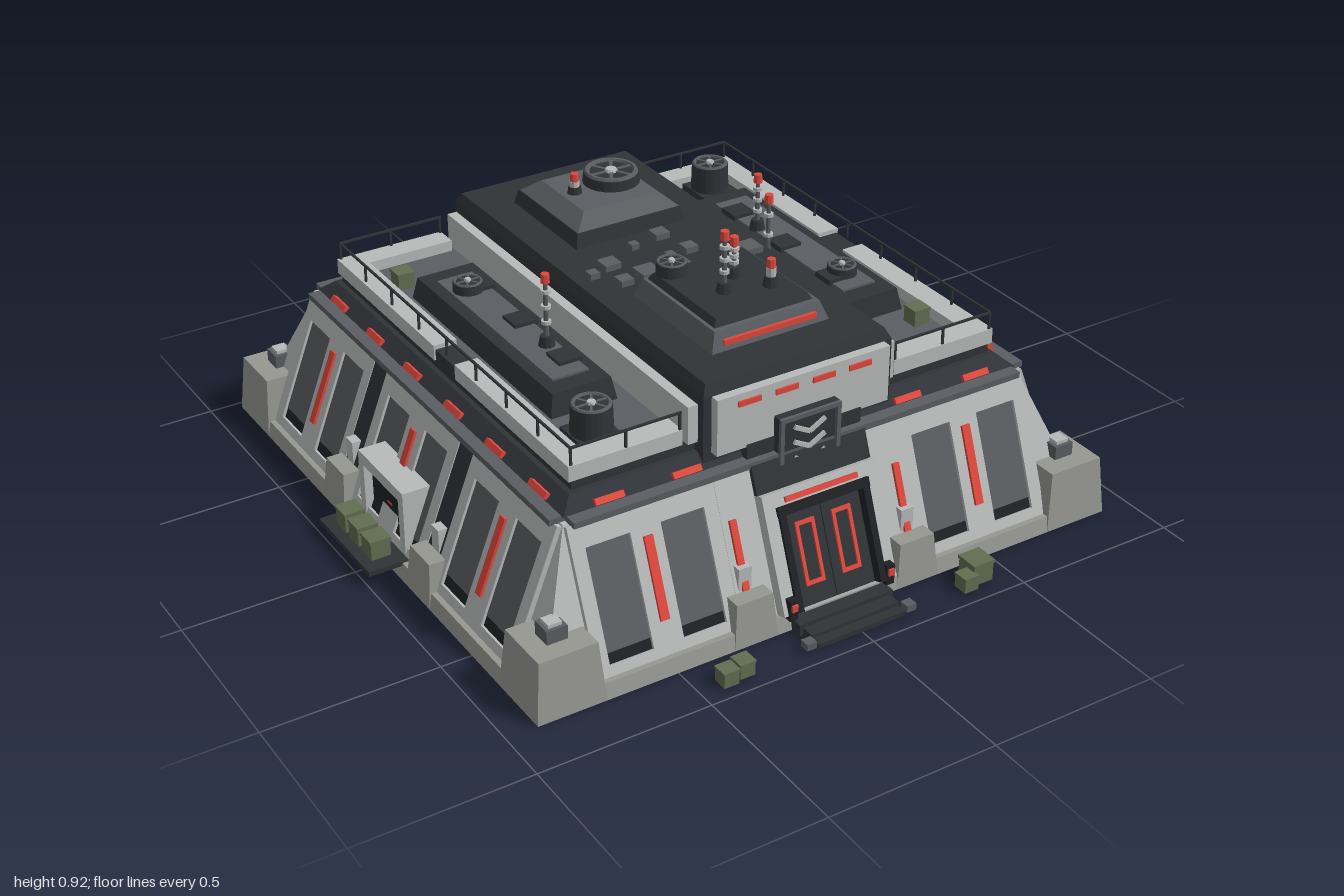
import * as THREE from 'three';

const mat = (color) => new THREE.MeshStandardMaterial({ color, flatShading: true });
const M = {
  light: mat(0xb8baba), concrete: mat(0x979792), mid: mat(0x5a5d61), dark: mat(0x303337),
  black: mat(0x1f2124), red: mat(0xe0483c), green: mat(0x626d50),
};

function add(parent, name, geo, m, x = 0, y = 0, z = 0) {
  const mesh = new THREE.Mesh(geo, m);
  mesh.name = name;
  mesh.position.set(x, y, z);
  parent.add(mesh);
  return mesh;
}
// Box standing on y
const box = (p, name, m, w, h, d, x, y, z) => add(p, name, new THREE.BoxGeometry(w, h, d), m, x, y + h / 2, z);
// Box standing on y, with its top inset by t on every side
function taper(p, name, m, w, h, d, x, y, z, t) {
  const geo = new THREE.BoxGeometry(w, h, d), a = geo.attributes.position;
  for (let i = 0; i < a.count; i++) {
    if (a.getY(i) > 0) {
      a.setX(i, a.getX(i) - Math.sign(a.getX(i)) * t);
      a.setZ(i, a.getZ(i) - Math.sign(a.getZ(i)) * t);
    }
  }
  geo.computeVertexNormals();
  return add(p, name, geo, m, x, y + h / 2, z);
}
const cyl = (p, name, m, r0, r1, h, x, y, z, n = 20) =>
  add(p, name, new THREE.CylinderGeometry(r1, r0, h, n), m, x, y + h / 2, z);

function group(parent, name, x = 0, y = 0, z = 0) {
  const g = new THREE.Group();
  g.name = name;
  g.position.set(x, y, z);
  parent.add(g);
  return g;
}
const rectPoints = (x, y, w, h) => [[x, y], [x + w, y], [x + w, y + h], [x, y + h]].map((p) => new THREE.Vector2(...p));
// Flat plate with rectangular holes
function plate(p, name, m, outer, holes, depth, z) {
  const s = new THREE.Shape(rectPoints(...outer));
  holes.forEach((h) => s.holes.push(new THREE.Path(rectPoints(...h))));
  return add(p, name, new THREE.ExtrudeGeometry(s, { depth, bevelEnabled: false }), m, 0, 0, z);
}

function fan(p, x, y, z, r, h) {
  const g = group(p, 'roofFan', x, y, z);
  cyl(g, 'fanHousing', M.dark, r * 1.05, r, h, 0, 0, 0, 24);
  const ring = add(g, 'fanRing', new THREE.TorusGeometry(r * 0.88, r * 0.1, 6, 24), M.mid, 0, h, 0);
  ring.rotation.x = Math.PI / 2;
  cyl(g, 'fanHub', M.light, r * 0.25, r * 0.2, 0.008, 0, h, 0, 12);
  for (let i = 0; i < 3; i++) box(g, 'fanBlade', M.mid, r * 1.6, 0.003, r * 0.12, 0, h, 0).rotation.y = i * Math.PI / 3;
}

function antenna(p, x, y, z, top) {
  const g = group(p, 'antenna', x, y, z), h = top - y;
  cyl(g, 'antennaBase', M.dark, 0.024, 0.018, 0.03, 0, 0, 0, 10);
  cyl(g, 'antennaMast', M.mid, 0.008, 0.006, h - 0.02, 0, 0, 0, 8);
  for (let i = 1; i <= 3; i++) cyl(g, 'antennaRing', M.light, 0.014, 0.014, 0.01, 0, 0.02 + (h - 0.05) * i / 3.6, 0, 10);
  cyl(g, 'antennaLamp', M.red, 0.013, 0.012, 0.026, 0, h - 0.026, 0, 8);
}

// Wall: half depth is 0.733 at y = 0.42 and grows by SLOPE for each unit down
const SLOPE = 0.39, TILT = Math.atan(SLOPE), K = Math.hypot(1, SLOPE);
const up = (y) => (y - 0.04) * K;

function wallPanel(w, c) {
  const y0 = up(0.07), y1 = up(0.36);
  plate(w, 'panelFrame', M.light, [c - 0.215, 0, 0.43, up(0.42)],
    [[c - 0.175, y0, 0.13, y1 - y0], [c + 0.045, y0, 0.13, y1 - y0]], 0.016, -0.012);
  for (const s of [-1, 1]) {
    box(w, 'panelInset', M.mid, 0.13, y1 - y0 - 0.03, 0.008, c + s * 0.11, y0 + 0.03, -0.008);
    box(w, 'panelFoot', M.black, 0.13, 0.03, 0.006, c + s * 0.11, y0, -0.008);
  }
  box(w, 'wallLight', M.red, 0.026, up(0.34) - up(0.13), 0.012, c, up(0.13), 0.006);
}

function crate(p, s, x, y, z) {
  box(p, 'crate', M.green, s, s * 0.85, s, x, y, z);
  box(p, 'crateLid', M.green, s * 1.08, s * 0.15, s * 1.08, x, y + s * 0.85, z);
}

function side(body, k) {
  const g = group(body, ['frontSide', 'leftSide', 'backSide', 'rightSide'][k]);
  g.rotation.y = k * Math.PI / 2;
  const w = group(g, 'slopedWall', 0, 0.04, 0.733 + SLOPE * 0.38);
  w.rotation.x = -TILT;
  for (const c of k === 0 ? [-0.505, 0.505] : [-0.505, 0, 0.505]) wallPanel(w, c);
  for (const s of [-1, 1]) {
    if (k === 0) {
      box(w, 'entranceWing', M.light, 0.11, up(0.42), 0.02, s * 0.235, 0, -0.005);
      box(w, 'wingLight', M.red, 0.02, 0.19, 0.012, s * 0.26, up(0.13), 0.008);
    }
    box(w, 'wallColumn', M.dark, k ? 0.07 : 0.025, up(0.42), 0.022, s * (k ? 0.253 : 0.3), 0, -0.008);
    taper(g, 'buttress', M.concrete, 0.135, 0.13, 0.11, s * 0.26, 0, 0.855, 0.012);
    box(g, 'buttressRib', M.light, 0.04, 0.1, 0.04, s * 0.26, 0.1, 0.83);
  }
  // Warning lights along the cornice
  for (const s of k % 2 ? [-0.58, -0.35, -0.12, 0.12, 0.35, 0.58] : [-0.58, -0.35, 0.35, 0.58])
    box(g, 'corniceLight', M.red, 0.085, 0.018, 0.015, s, 0.437, 0.708).rotation.x = -0.6;
  // Cargo dock
  if (k % 2) {
    const d = group(g, 'cargoDock');
    plate(d, 'dockFrame', M.light, [-0.135, 0.04, 0.27, 0.205], [[-0.105, 0.04, 0.21, 0.17]], 0.09, 0.79);
    box(d, 'dockDoor', M.black, 0.21, 0.17, 0.02, 0, 0.04, 0.845);
    box(d, 'dockLight', M.red, 0.2, 0.014, 0.012, 0, 0.19, 0.86);
    box(d, 'dockPlatform', M.dark, 0.31, 0.014, 0.13, 0, 0.036, 0.935);
    for (const x of [-0.08, 0, 0.08]) crate(d, 0.058, x, 0.05, 0.94);
  }
  return w;
}

function wing(body, s) {
  const g = group(body, s > 0 ? 'leftRoofWing' : 'rightRoofWing');
  if (s < 0) g.rotation.y = Math.PI;
  box(g, 'wingFloor', M.mid, 0.33, 0.03, 1.3, 0.49, 0.48, 0);
  box(g, 'parapetGap', M.dark, 0.06, 0.03, 0.14, 0.635, 0.5, 0);
  for (const e of [-1, 1]) {
    box(g, 'parapetSide', M.light, 0.07, 0.045, 0.605, 0.635, 0.498, e * 0.3625);
    box(g, 'parapetEnd', M.light, 0.265, 0.045, 0.07, 0.4675, 0.498, e * 0.63);
    box(g, 'endRail', M.dark, 0.325, 0.006, 0.006, 0.4975, 0.59, e * 0.66);
    for (const x of [0.34, 0.5]) box(g, 'railPost', M.dark, 0.006, 0.055, 0.006, x, 0.54, e * 0.66);
  }
  box(g, 'sideRail', M.dark, 0.006, 0.006, 1.32, 0.66, 0.59, 0);
  for (let i = 0; i <= 8; i++) box(g, 'railPost', M.dark, 0.006, 0.055, 0.006, 0.66, 0.54, -0.66 + i * 0.165);
  box(g, 'innerWall', M.light, 0.03, 0.11, 1.31, 0.31, 0.5, 0.02 * s);
  // Raised equipment deck
  taper(g, 'equipmentDeck', M.dark, 0.2, 0.065, 0.79, 0.465, 0.51, 0, 0.012);
  box(g, 'deckPlate', M.mid, 0.11, 0.008, 0.65, 0.465, 0.573, 0);
  for (const z of [-0.24, 0, 0.24]) box(g, 'deckHatch', M.dark, 0.07, 0.016, 0.07, 0.435, 0.575, z);
  fan(g, 0.47, 0.578, 0.235, 0.042, 0.03);
  box(g, 'fanPad', M.dark, 0.12, 0.02, 0.12, 0.52, 0.51, -0.525);
  fan(g, 0.52, 0.53, -0.525, 0.055, 0.08);
  crate(g, 0.05, 0.555, 0.51, 0.475);
}

export function createModel() {
  const root = new THREE.Group();
  root.name = 'fortifiedBase';
  const body = group(root, 'building', 0, 0, -0.065);

  // Foundation and walls
  taper(body, 'foundation', M.concrete, 1.82, 0.045, 1.82, 0, 0, 0, 0.01);
  taper(body, 'wallCore', M.light, 1.738, 0.38, 1.738, 0, 0.04, 0, 0.38 * SLOPE);
  for (const x of [-1, 1]) for (const z of [-1, 1]) {
    taper(body, 'cornerBlock', M.concrete, 0.2, 0.175, 0.2, x * 0.81, 0, z * 0.81, 0.015);
    box(body, 'cornerCap', M.mid, 0.06, 0.04, 0.06, x * 0.81, 0.175, z * 0.81);
    box(body, 'cornerCapTop', M.light, 0.04, 0.01, 0.04, x * 0.81, 0.215, z * 0.81);
  }
  const walls = [0, 1, 2, 3].map((k) => side(body, k));

  // Cornice and roof base
  box(body, 'cornice', M.mid, 1.5, 0.018, 1.41, 0, 0.418, 0);
  box(body, 'cornice', M.mid, 1.41, 0.018, 1.5, 0, 0.4185, 0);
  taper(body, 'roofBase', M.dark, 1.43, 0.035, 1.43, 0, 0.435, 0, 0.04);
  box(body, 'roofBase', M.dark, 1.32, 0.04, 1.32, 0, 0.46, 0);
  for (const s of [1, -1]) wing(body, s);

  // Entrance, set on the sloped front wall
  const w = walls[0];
  plate(w, 'entranceFrame', M.light, [-0.18, 0, 0.36, up(0.345)], [[-0.13, 0, 0.26, up(0.295)]], 0.07, -0.03);
  box(w, 'entranceTop', M.dark, 0.36, up(0.42) - up(0.345), 0.04, 0, up(0.345), 0);
  box(w, 'entranceLight', M.red, 0.23, 0.014, 0.01, 0, up(0.315), 0.042);
  box(w, 'doorLintel', M.black, 0.29, 0.025, 0.03, 0, up(0.285), 0.035);
  for (const s of [-1, 1]) {
    box(w, 'door', M.dark, 0.125, up(0.29), 0.03, s * 0.064, 0, 0.005);
    box(w, 'doorJamb', M.black, 0.02, up(0.295), 0.03, s * 0.133, 0, 0.035);
    plate(w, 'doorTrim', M.red, [s * 0.058 - 0.03, up(0.09), 0.06, 0.175],
      [[s * 0.058 - 0.02, up(0.1), 0.04, 0.153]], 0.008, 0.018);
    box(body, 'stepPost', M.black, 0.025, 0.06, 0.03, s * 0.155, 0.04, 0.91);
    box(body, 'stepLamp', M.red, 0.018, 0.02, 0.032, s * 0.155, 0.07, 0.915);
    box(body, 'stepRail', M.mid, 0.03, 0.02, 0.03, s * 0.16, 0.005, 1.0);
  }
  box(body, 'stepUpper', M.dark, 0.3, 0.035, 0.05, 0, 0, 0.92);
  box(body, 'stepMiddle', M.dark, 0.28, 0.024, 0.05, 0, 0, 0.96);
  box(body, 'stepLower', M.dark, 0.28, 0.014, 0.05, 0, 0, 0.99);

  // Central hall
  box(body, 'hall', M.dark, 0.59, 0.2, 1.34, 0, 0.44, 0.03);
  taper(body, 'hallRoof', M.dark, 0.59, 0.03, 1.34, 0, 0.64, 0.03, 0.015);
  box(body, 'hallFront', M.light, 0.54, 0.165, 0.03, 0, 0.473, 0.712);
  box(body, 'hallFrontBase', M.dark, 0.36, 0.06, 0.05, 0, 0.42, 0.705);
  for (const x of [-0.173, -0.058, 0.058, 0.173]) {
    box(body, 'hallFrontLight', M.red, 0.07, 0.016, 0.01, x, 0.602, 0.727);
    box(body, 'hallBackLight', M.red, 0.07, 0.016, 0.012, x, 0.6, -0.64);
  }

  // Front sign with chevron stripes
  const sign = group(body, 'chevronSign', 0, 0.45, 0.75);
  box(sign, 'signBack', M.dark, 0.19, 0.18, 0.04, 0, -0.09, -0.02);
  plate(sign, 'signBorder', M.mid, [-0.095, -0.09, 0.19, 0.18], [[-0.083, -0.078, 0.166, 0.156]], 0.01, 0);
  for (const y of [0.035, -0.01, -0.055]) for (const s of [-1, 1])
    box(sign, 'chevronStripe', M.light, 0.056, 0.012, 0.008, s * 0.024, y, 0.003).rotation.z = s * 0.5;

  // Front roof turret
  taper(body, 'turretBase', M.mid, 0.37, 0.055, 0.39, 0, 0.668, 0.375, 0.02);
  taper(body, 'turretTop', M.dark, 0.31, 0.02, 0.33, 0, 0.722, 0.37, 0.012);
  box(body, 'turretLight', M.red, 0.29, 0.016, 0.012, 0, 0.684, 0.562);
  for (const [x, z, top] of [[0.03, 0.345, 0.86], [-0.04, 0.405, 0.92], [0.085, 0.44, 0.82]]) antenna(body, x, 0.74, z, top);
  fan(body, -0.1, 0.74, 0.24, 0.042, 0.035);

  // Rear roof turret
  taper(body, 'rearTurret', M.dark, 0.36, 0.045, 0.36, 0, 0.668, -0.31, 0.01);
  taper(body, 'rearTurretTop', M.mid, 0.34, 0.04, 0.34, 0, 0.71, -0.31, 0.05);
  box(body, 'rearTurretLight', M.red, 0.26, 0.012, 0.01, 0, 0.685, -0.488);
  fan(body, 0.05, 0.745, -0.325, 0.08, 0.035);
  antenna(body, -0.08, 0.74, -0.31, 0.81);

  // Wing antennas
  antenna(body, 0.425, 0.58, -0.125, 0.755);
  antenna(body, -0.44, 0.58, 0.155, 0.795);
  antenna(body, 0.34, 0.51, 0.055, 0.785);

  // Small rooftop units
  for (const [x, z, s] of [[-0.155, 0.005, 0.05], [-0.04, -0.055, 0.025], [0.06, -0.08, 0.045], [-0.09, 0.1, 0.06], [0.02, 0.115, 0.03],
    [0.225, 0.125, 0.06], [-0.225, 0.035, 0.03], [0.085, 0.035, 0.04], [0.015, 0.05, 0.025], [-0.17, 0.11, 0.04]])
    box(body, 'rooftopUnit', M.mid, s, 0.02, s, x, 0.668, z);

  // Crates on the ground in front
  for (const [x, z, s] of [[-0.415, 1.005, 0.045], [-0.36, 0.995, 0.045], [0.355, 1.0, 0.045], [0.405, 0.975, 0.065]]) crate(body, s, x, 0, z);
  return root;
}
